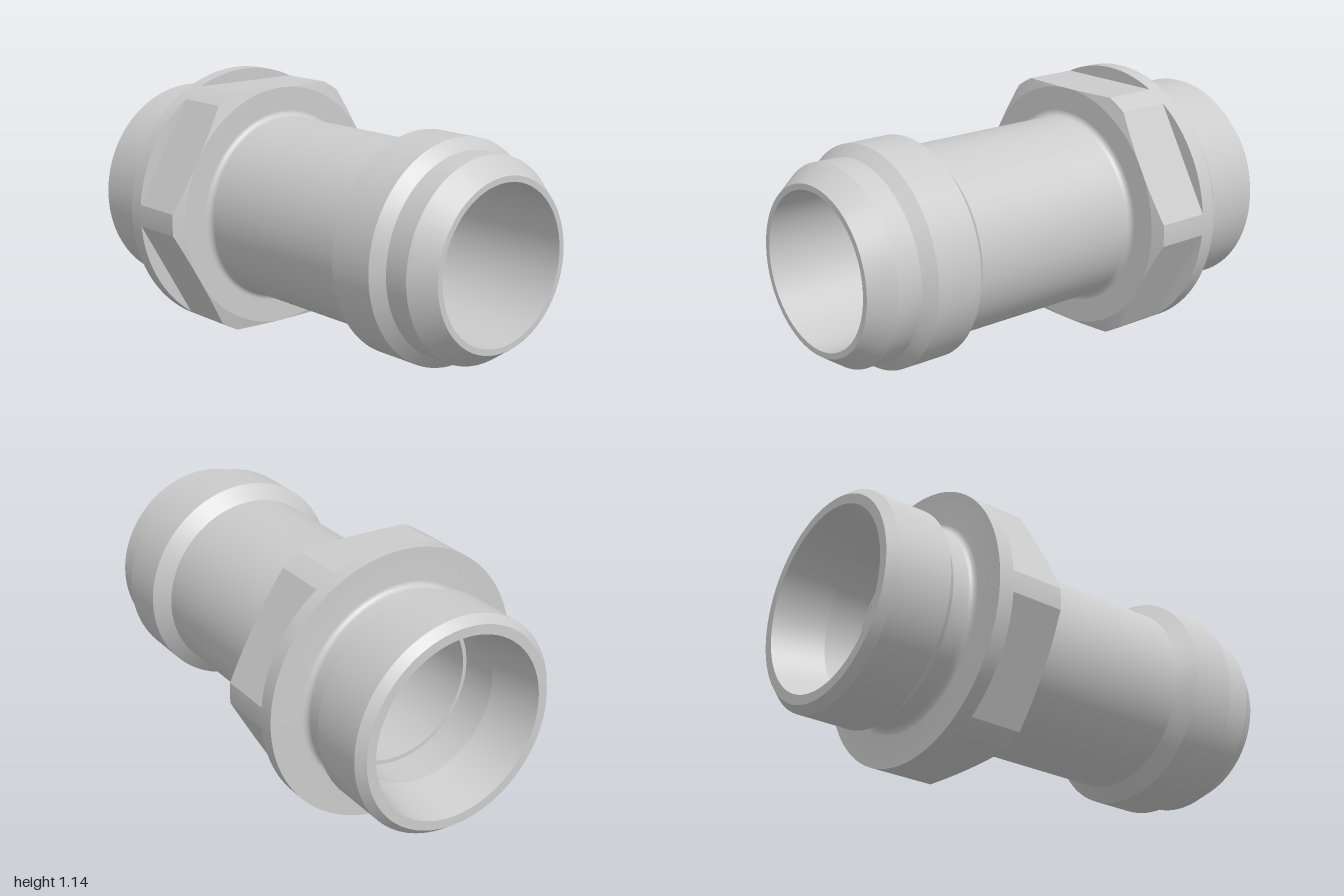
import * as THREE from 'three';
import { toCreasedNormals } from 'three/addons/utils/BufferGeometryUtils.js';

const SEGMENTS = 156; // divides so that vertices fall on the hex edges
const AXIS_Y = 0.57;
const FLANGE_R = 0.57;
const HEX_APOTHEM = 0.515;
const HEX_END = -0.285;

// Quarter-circle fillet points around (cx, cr), from angle a to b
function fillet(cx, cr, rad, a, b, n = 10) {
  return Array.from({ length: n + 1 }, (_, i) => {
    const t = a + ((b - a) * i) / n;
    return [cx + rad * Math.cos(t), cr + rad * Math.sin(t)];
  });
}

// Lathe around x from [x, radius] pairs
function turned(profile) {
  const points = profile.map(([x, r]) => new THREE.Vector2(r, x));
  return new THREE.LatheGeometry(points, SEGMENTS);
}

function finish(geometry, name, material) {
  geometry.rotateZ(-Math.PI / 2);
  const mesh = new THREE.Mesh(toCreasedNormals(geometry, 0.2), material);
  mesh.name = name;
  return mesh;
}

export function createModel() {
  const group = new THREE.Group();
  group.name = 'pipeFitting';
  const material = new THREE.MeshStandardMaterial({ color: 0xcccccc });

  // Hollow body: outer surface left to right, then the bore back again
  const body = turned([
    [-1, 0.38], [-1, 0.42], [-0.965, 0.45], [-0.73, 0.45], [-0.69, 0.41],
    ...fillet(-0.62, 0.435, 0.025, -Math.PI / 2, 0),
    [-0.595, FLANGE_R], [-0.53, FLANGE_R], [-0.53, 0.415],
    ...fillet(-0.26, 0.415, 0.025, -Math.PI, -Math.PI / 2),
    [0.5, 0.39], [0.555, 0.45], [0.755, 0.45], [0.8, 0.405],
    [0.905, 0.405], [1, 0.34], [1, 0.316],
    [-0.62, 0.316], [-0.62, 0.333], [-0.78, 0.333], [-1, 0.38],
  ]);
  group.add(finish(body, 'body', material));

  // Hex collar: corners trimmed to the flange radius, right end chamfered
  const hex = turned([
    [-0.53, FLANGE_R], [-0.3, FLANGE_R], [HEX_END, HEX_APOTHEM], [HEX_END, 0.41],
  ]);
  const pos = hex.attributes.position;
  for (let i = 0; i < pos.count; i++) {
    const row = i % 4;
    if (row > 1) continue;
    const angle = (Math.floor(i / 4) / SEGMENTS) * Math.PI * 2;
    const fromFlat = (angle % (Math.PI / 3)) - Math.PI / 6;
    const r = Math.min(FLANGE_R, HEX_APOTHEM / Math.cos(fromFlat));
    const x = row === 0 ? -0.53 : HEX_END - (r - HEX_APOTHEM) * 0.27;
    pos.setXYZ(i, r * Math.sin(angle), x, r * Math.cos(angle));
  }
  group.add(finish(hex, 'hexCollar', material));

  group.position.y = AXIS_Y;
  return group;
}
